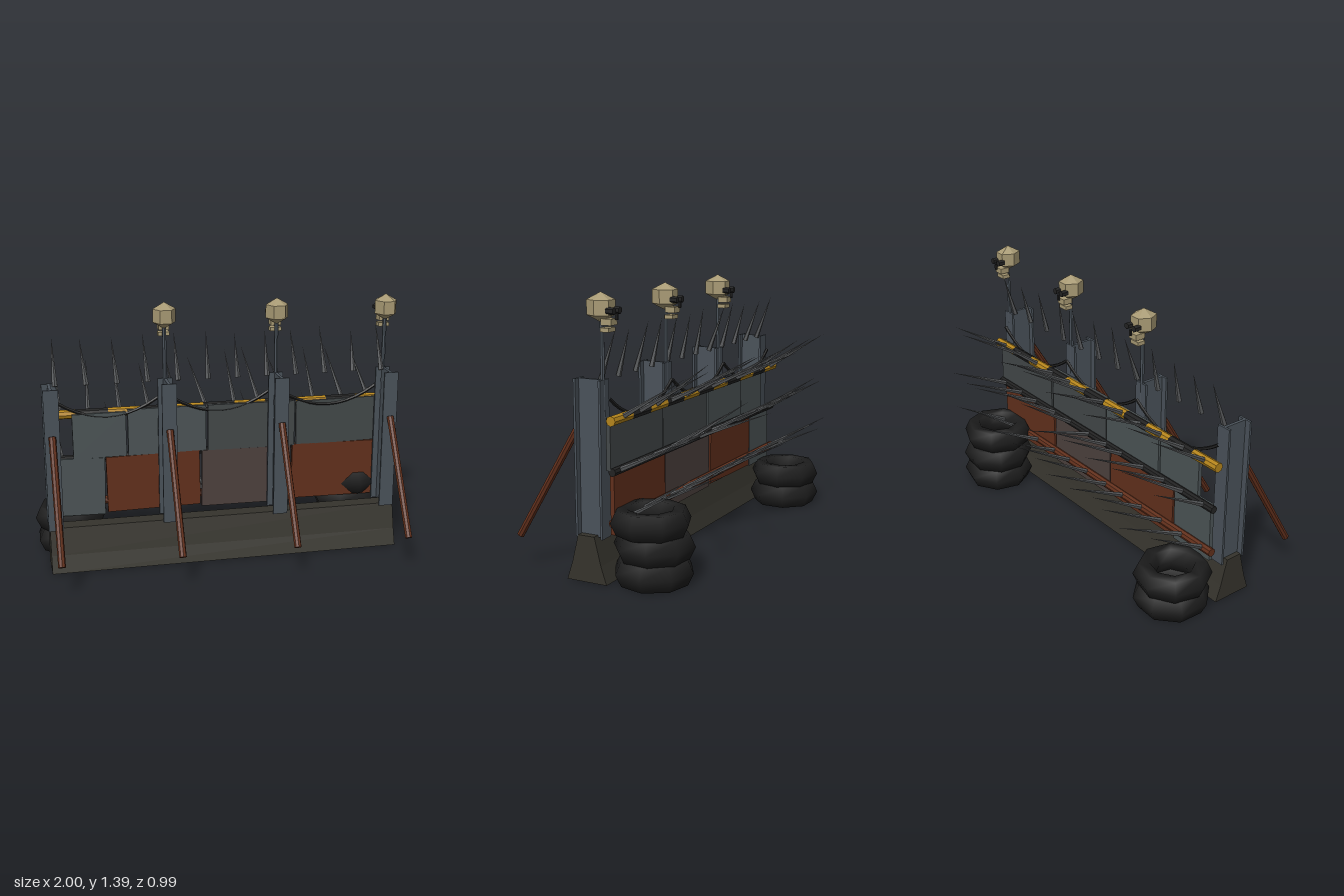
import * as THREE from 'three';

const mat = (color) => new THREE.MeshStandardMaterial({ color, flatShading: true });
const M = {
  concrete: mat(0x35332c), steel: mat(0x4a525a), rust: mat(0x62301c), grey: mat(0x4c5456),
  slate: mat(0x434849), brown: mat(0x4d413e), yellow: mat(0xb5851c), black: mat(0x222222),
  spike: mat(0x585a5c), bone: mat(0xa89a74),
};
const rubber = new THREE.MeshStandardMaterial({ color: 0x1d1d1d });
const UP = new THREE.Vector3(0, 1, 0);
const V = (x, y, z) => new THREE.Vector3(x, y, z);

// Seeded generator, returns -1..1
let seed = 7;
const rnd = () => {
  seed = (seed * 16807) % 2147483647;
  return (seed / 2147483647) * 2 - 1;
};

function add(parent, name, geometry, material, x = 0, y = 0, z = 0) {
  const mesh = new THREE.Mesh(geometry, material);
  mesh.name = name;
  mesh.position.set(x, y, z);
  parent.add(mesh);
  return mesh;
}

// Tapered rod from a to b
function rod(parent, name, a, b, r0, r1, sides, material) {
  const dir = b.clone().sub(a);
  const geo = new THREE.CylinderGeometry(r1, r0, dir.length(), sides);
  const mid = a.clone().add(b).multiplyScalar(0.5);
  const mesh = add(parent, name, geo, material, mid.x, mid.y, mid.z);
  mesh.quaternion.setFromUnitVectors(UP, dir.normalize());
  return mesh;
}

// Shape in (x, y) pulled along its normal, centred
function prism(points, depth) {
  const shape = new THREE.Shape(points.map(([x, y]) => new THREE.Vector2(x, y)));
  return new THREE.ExtrudeGeometry(shape, { depth, bevelEnabled: false }).translate(0, 0, -depth / 2);
}

function makeSkull(x) {
  const g = new THREE.Group();
  g.name = 'skullOnPole';
  g.position.x = x;
  rod(g, 'pole', V(0, 0.8, 0), V(0, 1.25, 0), 0.011, 0.011, 6, M.steel);
  const cranium = add(g, 'cranium', new THREE.SphereGeometry(0.07, 6, 3), M.bone, 0, 1.315, 0.004);
  cranium.scale.z = 1.12;
  add(g, 'upperJaw', new THREE.BoxGeometry(0.055, 0.03, 0.055), M.bone, 0, 1.25, -0.038);
  add(g, 'lowerJaw', new THREE.BoxGeometry(0.06, 0.02, 0.045), M.bone, 0, 1.214, -0.032);
  for (const s of [-1, 1]) {
    rod(g, 'eyeSocket', V(s * 0.027, 1.302, -0.045), V(s * 0.027, 1.302, -0.083), 0.017, 0.017, 6, M.black);
  }
  add(g, 'noseHole', new THREE.BoxGeometry(0.012, 0.03, 0.01), M.black, 0, 1.275, -0.08);
  return g;
}

export function createModel() {
  const model = new THREE.Group();
  seed = 7;

  // Concrete barrier
  const barrier = prism([[-0.19, 0], [0.03, 0], [0.0, 0.09], [-0.035, 0.23], [-0.125, 0.23], [-0.16, 0.09]], 1.895);
  add(model, 'barrierBase', barrier.rotateY(Math.PI / 2), M.concrete);

  // I-beam posts with slanted braces
  const postX = [-0.915, -0.307, 0.297, 0.905];
  const w = 0.039, t = 0.008, f = 0.012, d = 0.074;
  const beam = prism([[-w, -d], [w, -d], [w, -d + f], [t, -d + f], [t, d - f], [w, d - f],
    [w, d], [-w, d], [-w, d - f], [-t, d - f], [-t, -d + f], [-w, -d + f]], 0.76).rotateX(-Math.PI / 2);
  for (const x of postX) {
    add(model, 'post', beam, M.steel, x, 0.6, 0.065);
    rod(model, 'brace', V(x, 0.735, 0.145), V(x, 0.165, 0.49), 0.019, 0.019, 8, M.rust);
  }

  // Sheet panels: left edge, right edge, bottom, top, depth, material
  const panels = [
    [-0.9, -0.635, 0.235, 0.555, -0.038, M.grey],
    [-0.625, -0.115, 0.245, 0.555, -0.04, M.rust],
    [-0.105, 0.395, 0.235, 0.555, -0.036, M.brown],
    [0.405, 0.9, 0.24, 0.555, -0.04, M.rust],
    [-0.8, -0.515, 0.555, 0.8, -0.036, M.grey],
    [-0.505, -0.08, 0.555, 0.81, -0.04, M.grey],
    [-0.07, 0.415, 0.555, 0.81, -0.036, M.slate],
    [0.425, 0.93, 0.555, 0.805, -0.04, M.slate],
  ];
  for (const [x0, x1, y0, y1, z, m] of panels) {
    const p = add(model, 'panel', new THREE.BoxGeometry(x1 - x0, y1 - y0, 0.022), m, (x0 + x1) / 2, (y0 + y1) / 2, z);
    p.rotation.z = rnd() * 0.018;
  }

  // Striped top rail, dark middle rail, rusty bottom rail
  const n = 11, x0 = -0.95, step = 1.89 / n;
  for (let i = 0; i < n; i++) {
    rod(model, 'topRailStripe', V(x0 + i * step, 0.795, -0.06), V(x0 + (i + 1) * step, 0.795, -0.06),
      0.025, 0.025, 8, i % 2 ? M.black : M.yellow);
  }
  rod(model, 'middleRail', V(-0.93, 0.55, -0.058), V(0.93, 0.55, -0.058), 0.02, 0.02, 8, M.black);
  rod(model, 'bottomRail', V(-0.93, 0.303, -0.058), V(0.93, 0.303, -0.058), 0.022, 0.022, 8, M.rust);

  // Spikes: three rows on the rails, one row along the top
  for (let i = 0; i < 12; i++) {
    for (const y of [0.795, 0.55, 0.303]) {
      const x = -0.87 + i * 0.157 + rnd() * 0.015;
      const tip = V(x + rnd() * 0.035, y + 0.205 + rnd() * 0.045, -0.43 + rnd() * 0.055);
      rod(model, 'railSpike', V(x, y, -0.06), tip, 0.014, 0, 5, M.spike);
    }
    const x = -0.885 + i * 0.161;
    rod(model, 'topSpike', V(x, 0.97, 0.025), V(x - 0.015 + rnd() * 0.015, 1.21 + rnd() * 0.015, -0.045 + rnd() * 0.03),
      0.015, 0, 5, M.spike);
  }

  // Sagging cables between posts
  for (let i = 0; i < 3; i++) {
    const a = postX[i], b = postX[i + 1];
    const curve = new THREE.QuadraticBezierCurve3(V(a, 0.895, -0.033), V((a + b) / 2, 0.66, -0.033), V(b, 0.895, -0.033));
    add(model, 'cable', new THREE.TubeGeometry(curve, 12, 0.009, 5), M.black);
  }

  // Skulls on poles, facing the back
  for (const x of postX.slice(1)) model.add(makeSkull(x));

  // Tyre stacks behind the ends
  const tyre = new THREE.TorusGeometry(0.143, 0.057, 6, 8).rotateX(Math.PI / 2).scale(1, 1.24, 1);
  const tyres = [
    [-0.805, 0.061, -0.205, 0.35], [-0.81, 0.182, -0.205, 0.15],
    [0.79, 0.061, -0.2, 0.15], [0.785, 0.182, -0.2, 0.3], [0.795, 0.304, -0.188, 0],
  ];
  for (const [x, y, z, turn] of tyres) add(model, 'tyre', tyre, rubber, x, y, z).rotation.y = turn;

  return model;
}
